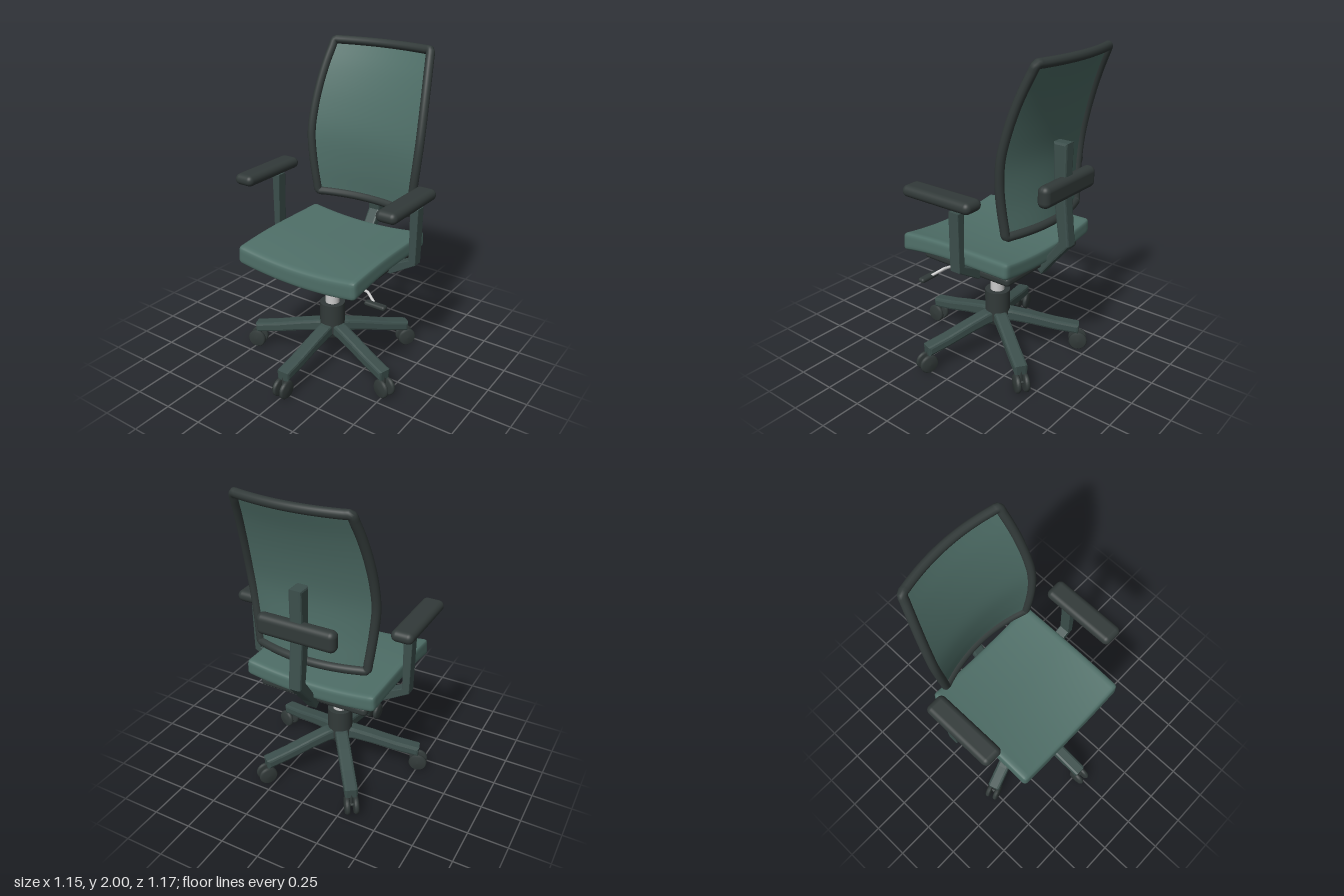
import * as THREE from 'three';
import { mergeVertices } from 'three/addons/utils/BufferGeometryUtils.js';
import { RoundedBoxGeometry } from 'three/addons/geometries/RoundedBoxGeometry.js';

const mat = (color, side = THREE.FrontSide) => new THREE.MeshStandardMaterial({ color, side });
const V = (x, y, z) => new THREE.Vector3(x, y, z);

export function createModel() {
  const model = new THREE.Group();
  const fabric = mat(0x4f6f68), mesh = mat(0x4f6f68, THREE.DoubleSide);
  const dark = mat(0x323a39), frameMat = mat(0x3c4f4c), steel = mat(0xcccccc);

  const add = (name, geo, material, x = 0, y = 0, z = 0, parent = model) => {
    const m = new THREE.Mesh(geo, material);
    m.name = name;
    m.position.set(x, y, z);
    parent.add(m);
    return m;
  };

  // Closed 2D outline extruded to a centred, slightly bevelled slab
  const slab = (pts, width, bevel) => {
    const shape = new THREE.Shape(pts.map(p => new THREE.Vector2(p[0], p[1])));
    const depth = width - 2 * bevel;
    return new THREE.ExtrudeGeometry(shape, {
      depth, bevelThickness: bevel, bevelSize: bevel, bevelOffset: -bevel, bevelSegments: 2,
    }).translate(0, 0, -depth / 2);
  };
  // Same, with the outline given as (z, y) and the width along x
  const sideSlab = (pts, width, bevel) => slab(pts, width, bevel).rotateY(-Math.PI / 2);

  // Star base: hub, five legs and twin-wheel casters
  add('baseHub', new THREE.CylinderGeometry(0.08, 0.08, 0.2, 32), dark, 0, 0.32, 0);
  add('hubFoot', new THREE.CylinderGeometry(0.08, 0.065, 0.035, 32), dark, 0, 0.203, 0);
  add('gasColumn', new THREE.CylinderGeometry(0.045, 0.045, 0.32, 32), steel, 0, 0.56, 0);

  const legGeo = sideSlab([
    [0.03, 0.285], [0.1, 0.278], [0.22, 0.25], [0.38, 0.208], [0.53, 0.178],
    [0.525, 0.115], [0.38, 0.14], [0.22, 0.178], [0.1, 0.2], [0.03, 0.2],
  ], 0.085, 0.016);
  const wheelGeo = new THREE.LatheGeometry([
    [0, -0.017], [0.05, -0.017], [0.059, -0.009], [0.059, 0.004], [0.05, 0.014], [0, 0.017],
  ].map(p => new THREE.Vector2(...p)), 28).rotateZ(-Math.PI / 2);
  for (let i = 0; i < 5; i++) {
    const leg = new THREE.Group();
    leg.name = 'baseLeg';
    leg.rotation.y = i * Math.PI * 2 / 5;
    model.add(leg);
    add('legArm', legGeo, frameMat, 0, 0, 0, leg);
    add('casterStem', new THREE.CylinderGeometry(0.012, 0.012, 0.08, 12), dark, 0, 0.1, 0.515, leg);
    add('casterAxle', new THREE.CylinderGeometry(0.01, 0.01, 0.06, 12).rotateZ(Math.PI / 2), dark, 0, 0.06, 0.525, leg);
    for (const s of [-1, 1]) {
      const wheel = add('casterWheel', wheelGeo, dark, s * 0.029, 0.059, 0.525, leg);
      if (s < 0) wheel.rotation.y = Math.PI;
    }
  }

  // Seat cushion: rounded box dished across and dropping towards the front
  const size = [0.43, 0.05, 0.4], r = 0.022;
  let seat = new THREE.BoxGeometry(0.86, 0.1, 0.8, 40, 8, 40);
  seat.deleteAttribute('uv');
  seat.deleteAttribute('normal');
  seat = mergeVertices(seat);
  const pos = seat.attributes.position;
  for (let i = 0; i < pos.count; i++) {
    const p = new THREE.Vector3().fromBufferAttribute(pos, i);
    const inner = V(...p.toArray().map((c, k) => THREE.MathUtils.clamp(c, r - size[k], size[k] - r)));
    p.sub(inner).setLength(r).add(inner);
    const front = Math.max(0, (p.z + 0.05) / 0.45);
    const low = 0.5 - p.y / 0.1;
    p.y += 0.036 * (p.x / 0.43) ** 2 - front * front * (0.026 + 0.016 * low);
    p.x *= 0.985 + 0.015 * low;
    pos.setXYZ(i, p.x, p.y, p.z);
  }
  seat.computeVertexNormals();
  add('seatCushion', seat, fabric, 0, 0.79, 0);
  add('seatPan', new RoundedBoxGeometry(0.72, 0.06, 0.65, 4, 0.025), dark, 0, 0.72, -0.035);

  // Height lever under the seat
  const rod = new THREE.CurvePath();
  const rodPts = [V(0.12, 0.657, 0.07), V(0.35, 0.657, 0.135), V(0.43, 0.622, 0.18)];
  rod.add(new THREE.LineCurve3(rodPts[0], rodPts[1]));
  rod.add(new THREE.LineCurve3(rodPts[1], rodPts[2]));
  add('leverRod', new THREE.TubeGeometry(rod, 24, 0.009, 10), steel);
  add('leverHandle', new RoundedBoxGeometry(0.14, 0.03, 0.045, 4, 0.014), dark, 0.435, 0.62, 0.185);

  // Armrests
  for (const s of [-1, 1]) {
    const arm = new THREE.Group();
    arm.name = s > 0 ? 'leftArmrest' : 'rightArmrest';
    model.add(arm);
    add('armPad', new RoundedBoxGeometry(0.135, 0.07, 0.495, 5, 0.034), dark, s * 0.508, 1.203, -0.006, arm);
    add('armPost', slab([
      [0.485, 1.15], [0.54, 1.15], [0.535, 0.79], [0.37, 0.69], [0.31, 0.69], [0.31, 0.725], [0.49, 0.815],
    ].map(([x, y]) => [s * x, y]), 0.07, 0.005), frameMat, 0, 0, -0.12, arm);
  }

  // Back support post and lumbar bar
  add('backPost', sideSlab([
    [-0.42, 1.49], [-0.51, 1.49], [-0.51, 1.2], [-0.545, 0.88], [-0.42, 0.73], [-0.36, 0.65],
    [-0.3, 0.7], [-0.37, 0.75], [-0.475, 0.9], [-0.435, 1.15],
  ], 0.08, 0.012), frameMat);
  add('lumbarBar', new RoundedBoxGeometry(0.5, 0.13, 0.08, 5, 0.036), dark, 0, 1.235, -0.497);

  // Backrest surface: u in -1..1 across, v in 0..1 upwards
  const profile = new THREE.CatmullRomCurve3([   // half width, height, depth at the side
    V(0.352, 1.0, -0.337), V(0.376, 1.2, -0.322), V(0.395, 1.4, -0.327),
    V(0.39, 1.6, -0.37), V(0.37, 1.8, -0.437), V(0.342, 1.974, -0.515),
  ]);
  const backPoint = (u, v) => {
    const p = profile.getPoint(v);
    return V(u * p.x, p.y, p.z - (0.065 - 0.02 * v) * (1 - u * u));
  };
  const panel = new THREE.PlaneGeometry(2, 1, 24, 30);
  const pp = panel.attributes.position;
  for (let i = 0; i < pp.count; i++) {
    pp.setXYZ(i, ...backPoint(pp.getX(i), pp.getY(i) + 0.5).toArray());
  }
  panel.computeVertexNormals();
  add('backrestPanel', panel, mesh);

  // Backrest frame follows the edge of the surface, with tight corners
  const steps = [0.01, 0.05, 0.15, 0.3, 0.45, 0.6, 0.75, 0.88, 0.95, 0.99];
  const loop = [
    ...steps.map(t => backPoint(2 * t - 1, 0)),
    ...steps.map(t => backPoint(1, t)),
    ...steps.map(t => backPoint(1 - 2 * t, 1)),
    ...steps.map(t => backPoint(-1, 1 - t)),
  ];
  const frameCurve = new THREE.CatmullRomCurve3(loop, true, 'centripetal');
  add('backrestFrame', new THREE.TubeGeometry(frameCurve, 240, 0.027, 12, true), dark);

  return model;
}
